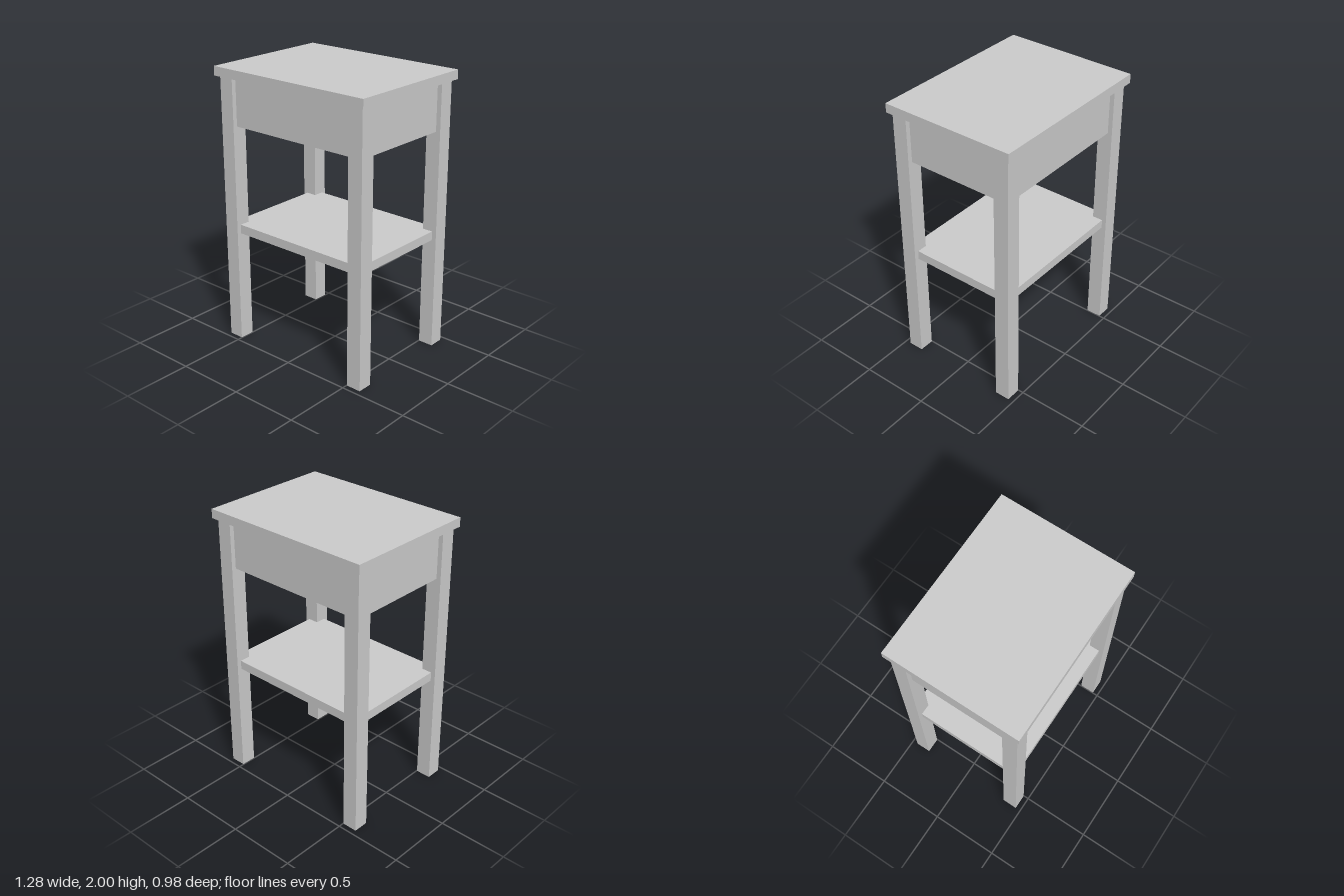
import * as THREE from 'three';

const material = new THREE.MeshStandardMaterial({ color: 0xcccccc, flatShading: true });

// Box standing on height y0, centred on (x, z)
function box(name, width, y0, y1, depth, x = 0, z = 0) {
  const mesh = new THREE.Mesh(new THREE.BoxGeometry(width, y1 - y0, depth), material);
  mesh.name = name;
  mesh.position.set(x, (y0 + y1) / 2, z);
  return mesh;
}

export function createModel() {
  const group = new THREE.Group();
  group.name = 'sideTable';

  const topBase = 1.935;
  const leg = 0.11;
  const legX = 0.558, legZ = 0.405;
  const innerWidth = 1.16, innerDepth = 0.855; // set back from the outer leg faces

  // Overhanging top
  group.add(box('tableTop', 1.28, topBase, 2, 0.976));

  // Closed drawer case and lower shelf, both let into the legs
  group.add(box('drawerCase', innerWidth, 1.595, topBase, innerDepth));
  group.add(box('shelf', innerWidth, 0.815, 0.88, innerDepth));

  // Four square legs
  for (const [sx, side] of [[1, 'Left'], [-1, 'Right']]) {
    for (const [sz, end] of [[1, 'front'], [-1, 'back']]) {
      group.add(box(`${end}${side}Leg`, leg, 0, topBase, leg, sx * legX, sz * legZ));
    }
  }
  return group;
}
